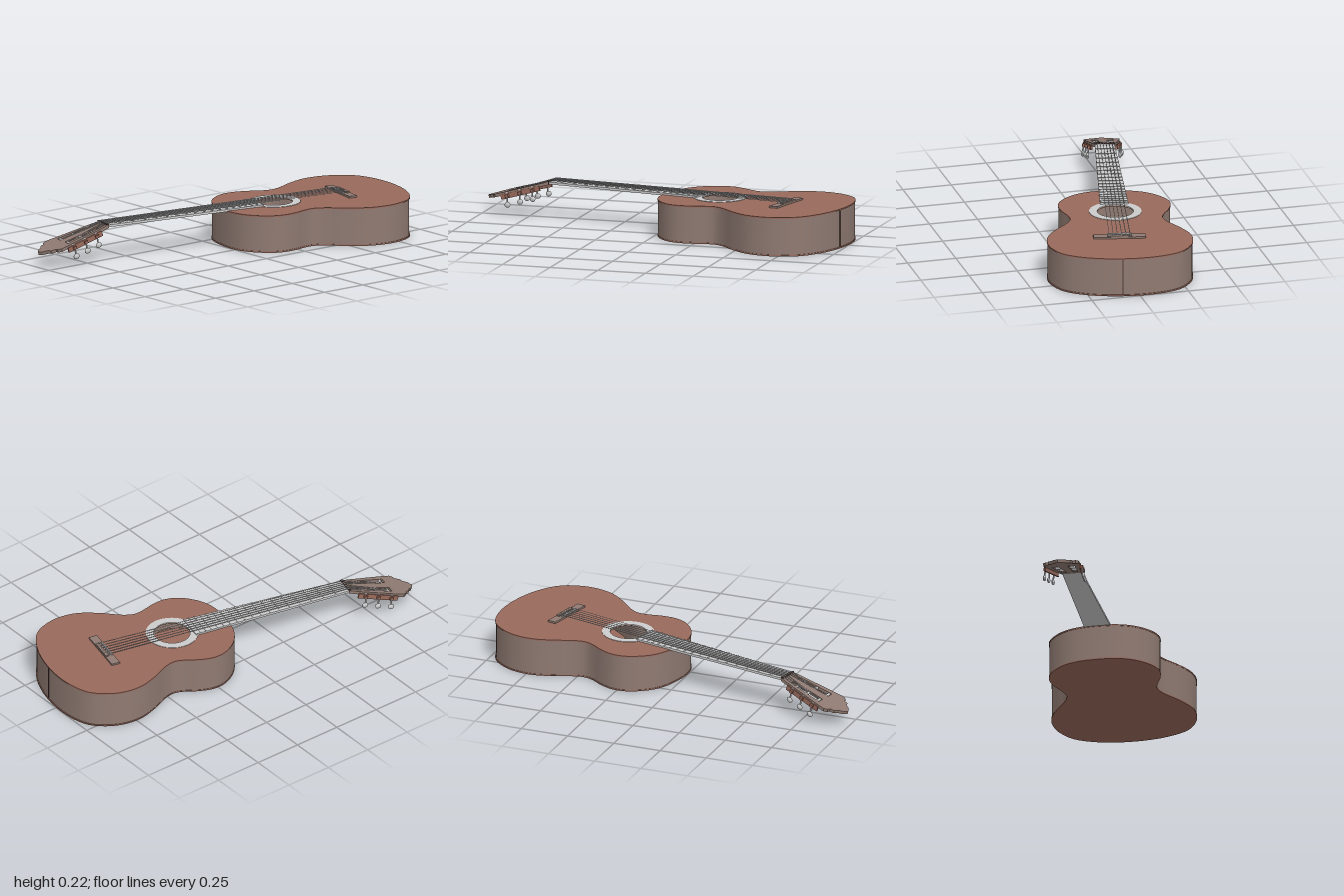
import * as THREE from 'three';
import { toCreasedNormals } from 'three/addons/utils/BufferGeometryUtils.js';

const mat = (color, side = THREE.FrontSide) => new THREE.MeshStandardMaterial({ color, side });
const redWood = mat(0x98695b);
const brownWood = mat(0x8f7a72, THREE.DoubleSide);
const darkWood = mat(0x4a3833);
const grey = mat(0xcccccc);

function add(parent, name, geometry, material, x = 0, y = 0, z = 0) {
  const mesh = new THREE.Mesh(geometry, material);
  mesh.name = name;
  mesh.position.set(x, y, z);
  parent.add(mesh);
  return mesh;
}

// Round bar between two points
function rod(parent, name, a, b, radius, material, sides = 6) {
  const from = new THREE.Vector3(...a), dir = new THREE.Vector3(...b).sub(from);
  const mesh = add(parent, name, new THREE.CylinderGeometry(radius, radius, dir.length(), sides), material);
  mesh.position.copy(from).addScaledVector(dir, 0.5);
  mesh.quaternion.setFromUnitVectors(new THREE.Vector3(0, 1, 0), dir.normalize());
}

// Flat plate lying in xz; its upper face follows topY(z)
function plate(shape, depth, topY) {
  const g = new THREE.ExtrudeGeometry(shape, { depth, bevelEnabled: false, curveSegments: 32 });
  g.rotateX(Math.PI / 2);
  const p = g.attributes.position;
  for (let i = 0; i < p.count; i++) p.setY(i, p.getY(i) + topY(p.getZ(i)));
  return toCreasedNormals(g, 0.6);
}

// Mirrors a half outline into a closed list of points
function mirrored(half) {
  const pts = half.map(([x, z]) => new THREE.Vector2(x, z));
  const other = pts.filter((p) => p.x > 0).reverse().map((p) => new THREE.Vector2(-p.x, p.y));
  return pts.concat(other);
}

const bodyTop = (z) => 0.192 - 0.012 * z;
const NUT = 0.966, BRIDGE = -0.376, BOARD_END = 0.1;
const boardTop = (z) => 0.2 - 0.014 * (z - BOARD_END) / (NUT - BOARD_END);
const boardHalf = (z) => 0.071 - 0.022 * (z - BOARD_END) / (NUT - BOARD_END);

function bodyOutline() {
  const half = [[0, -0.69], [0.17, -0.667], [0.292, -0.605], [0.352, -0.505], [0.366, -0.42], [0.355, -0.34],
    [0.31, -0.247], [0.25, -0.155], [0.231, -0.1], [0.24, -0.05], [0.268, 0.02], [0.282, 0.09],
    [0.272, 0.15], [0.235, 0.21], [0.175, 0.263], [0.1, 0.293], [0, 0.302]];
  const pts = mirrored(half).map((p) => new THREE.Vector3(p.x, 0, p.y));
  return new THREE.CatmullRomCurve3(pts, true).getPoints(128).slice(0, -1)
    .map((p) => new THREE.Vector2(p.x, p.z));
}

function buildBody(parent) {
  const outline = bodyOutline();
  const soundboard = new THREE.Shape(outline);
  soundboard.holes.push(new THREE.Path().absarc(0, 0, 0.092, 0, Math.PI * 2, true));
  add(parent, 'soundboard', plate(soundboard, 0.007, bodyTop), redWood);
  add(parent, 'backPlate', plate(new THREE.Shape(outline), 0.007, () => 0.007), redWood);

  // Bent side wall, set in slightly from the plates
  const pos = [], index = [], n = outline.length;
  outline.forEach((p, i) => {
    pos.push(p.x * 0.992, 0.006, p.y * 0.994, p.x * 0.992, bodyTop(p.y) - 0.005, p.y * 0.994);
    const a = 2 * i, b = 2 * ((i + 1) % n);
    index.push(a, a + 1, b, b, a + 1, b + 1);
  });
  const wall = new THREE.BufferGeometry();
  wall.setAttribute('position', new THREE.Float32BufferAttribute(pos, 3));
  wall.setIndex(index);
  wall.computeVertexNormals();
  add(parent, 'sideWall', wall, brownWood);
  add(parent, 'tailSeam', new THREE.BoxGeometry(0.006, 0.186, 0.004), darkWood, 0, 0.1, -0.687);

  // Faceted ring around the sound hole
  const ring = new THREE.Shape().absarc(0, 0, 0.132, 0, Math.PI * 2);
  ring.holes.push(new THREE.Path().absarc(0, 0, 0.091, 0, Math.PI * 2, true));
  const ringGeo = new THREE.ExtrudeGeometry(ring, { depth: 0.004, bevelEnabled: false, curveSegments: 14 });
  ringGeo.rotateX(Math.PI / 2 + 0.012);
  add(parent, 'soundHoleRing', ringGeo, grey, 0, bodyTop(0) + 0.002, 0);
}

function buildBridge(parent) {
  const y = bodyTop(BRIDGE);
  add(parent, 'bridgeBase', new THREE.BoxGeometry(0.262, 0.01, 0.044), brownWood, 0, y + 0.004, BRIDGE);
  add(parent, 'bridgeTieBlock', new THREE.BoxGeometry(0.12, 0.008, 0.018), brownWood, 0, y + 0.011, BRIDGE - 0.011);
  add(parent, 'saddle', new THREE.BoxGeometry(0.12, 0.01, 0.006), grey, 0, y + 0.012, BRIDGE + 0.014);
}

function buildNeck(parent) {
  const a = boardHalf(BOARD_END), b = boardHalf(NUT);
  const board = new THREE.Shape([[-a, BOARD_END], [a, BOARD_END], [b, NUT], [-b, NUT]]
    .map((p) => new THREE.Vector2(...p)));
  // Ends beside the hole follow its curve, so the board reaches the hole edge
  add(parent, 'fingerboard', plate(board, 0.012, boardTop), grey);
  for (let i = 1; i <= 18; i++) {
    const z = BRIDGE + (NUT - BRIDGE) * 2 ** (-i / 12);
    add(parent, 'fret', new THREE.BoxGeometry(boardHalf(z) * 2, 0.003, 0.004), grey, 0, boardTop(z) + 0.001, z);
  }
  add(parent, 'nut', new THREE.BoxGeometry(b * 2 + 0.002, 0.018, 0.012), darkWood, 0, 0.182, NUT);
}

function buildHead(parent) {
  const head = new THREE.Group();
  head.name = 'head';
  head.position.set(0, 0.186, NUT);
  head.rotation.x = 0.285;
  parent.add(head);

  // Slotted plate with a scalloped end
  const shape = new THREE.Shape(mirrored([[0, 0], [0.05, 0], [0.058, 0.04], [0.073, 0.15], [0.088, 0.26],
    [0.09, 0.295], [0.078, 0.312], [0.063, 0.315], [0.058, 0.338], [0.038, 0.348], [0.025, 0.37], [0, 0.385]]));
  for (const s of [1, -1]) {
    shape.holes.push(new THREE.Path([[0.017, 0.05], [0.042, 0.05], [0.058, 0.24], [0.024, 0.24]]
      .map(([x, z]) => new THREE.Vector2(s * x, z))));
  }
  add(head, 'headPlate', plate(shape, 0.016, () => 0), brownWood);

  for (const s of [1, -1]) {
    // Tuning machine rail under each edge
    const rail = add(head, 'tunerRail', new THREE.BoxGeometry(0.008, 0.026, 0.215), redWood, s * 0.076, -0.022, 0.155);
    rail.rotation.y = s * 0.13;
    for (let i = 0; i < 3; i++) {
      const z = 0.085 + i * 0.07, x = 0.068 + i * 0.009;
      rod(head, 'stringRoller', [s * 0.018, -0.009, z], [s * x, -0.009, z], 0.007, grey, 10);
      add(head, 'tunerGear', new THREE.BoxGeometry(0.014, 0.014, 0.018), redWood, s * (x + 0.007), -0.022, z);
      rod(head, 'tunerShaft', [s * (x + 0.007), -0.02, z], [s * (x + 0.012), -0.06, z + 0.006], 0.004, grey);
      const button = add(head, 'tunerButton', new THREE.SphereGeometry(1, 12, 8), grey, s * (x + 0.013), -0.066, z + 0.006);
      button.scale.set(0.008, 0.014, 0.017);
    }
  }
  return head;
}

function buildStrings(parent, head) {
  head.updateMatrix();
  for (let i = 0; i < 6; i++) {
    const t = i - 2.5, s = Math.sign(t), slot = s > 0 ? 5 - i : i;
    const saddle = [t * 0.021, bodyTop(BRIDGE) + 0.017, BRIDGE + 0.014];
    const nut = [t * 0.015, 0.192, NUT];
    const post = new THREE.Vector3(s * (0.042 - slot * 0.004), -0.003, 0.085 + slot * 0.07).applyMatrix4(head.matrix);
    const r = 0.0022 - i * 0.0002;
    rod(parent, 'string', [t * 0.021, saddle[1] - 0.003, BRIDGE - 0.02], saddle, r, grey);
    rod(parent, 'string', saddle, nut, r, grey);
    rod(parent, 'string', nut, post.toArray(), r, grey);
  }
}

export function createModel() {
  const model = new THREE.Group();
  model.name = 'guitar';
  const guitar = new THREE.Group();
  guitar.name = 'guitarBody';
  guitar.position.set(-0.06, 0, -0.31);
  guitar.rotation.y = -0.2116;
  model.add(guitar);
  buildBody(guitar);
  buildBridge(guitar);
  buildNeck(guitar);
  buildStrings(guitar, buildHead(guitar));
  return model;
}
